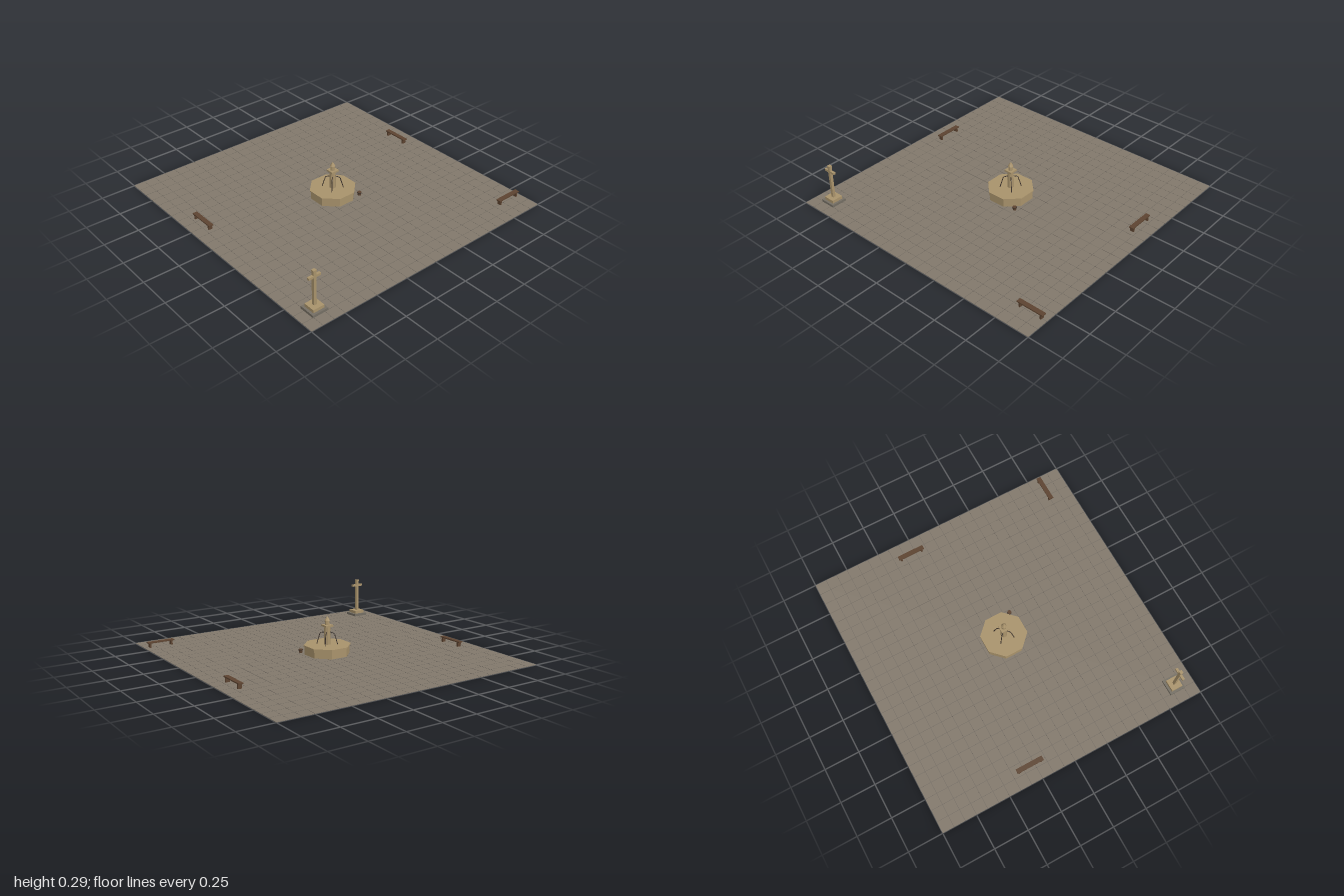
import * as THREE from 'three';

const mat = (color) => new THREE.MeshStandardMaterial({ color, flatShading: true });

export function createModel() {
  const root = new THREE.Group();
  const paving = mat(0x81786b), joint = mat(0x716960), stone = mat(0xa8926b);
  const darkStone = mat(0x746e63), wood = mat(0x5c4330), iron = mat(0x3a3029);

  const add = (parent, name, geometry, material, x = 0, y = 0, z = 0) => {
    const mesh = new THREE.Mesh(geometry, material);
    mesh.name = name;
    mesh.position.set(x, y, z);
    parent.add(mesh);
    return mesh;
  };
  const group = (name, x = 0, z = 0) => {
    const g = new THREE.Group();
    g.name = name;
    g.position.set(x, 0, z);
    root.add(g);
    return g;
  };
  // Box standing on y0 and reaching y1
  const block = (parent, name, w, y0, y1, d, m, x = 0, z = 0) =>
    add(parent, name, new THREE.BoxGeometry(w, y1 - y0, d), m, x, (y0 + y1) / 2, z);
  // Prism with flat sides facing the axes
  const prism = (parent, name, rTop, rBottom, y0, y1, sides, m, x = 0, z = 0) => {
    const g = new THREE.CylinderGeometry(rTop, rBottom, y1 - y0, sides);
    g.rotateY(Math.PI / sides);
    return add(parent, name, g, m, x, (y0 + y1) / 2, z);
  };

  // Paved square with a grid of joints
  const square = group('square');
  block(square, 'paving', 2, 0, 0.003, 2, paving);
  for (let i = -11; i <= 11; i++) {
    const p = i / 12;
    block(square, 'jointAcross', 2, 0.002, 0.0036, 0.003, joint, 0, p);
    block(square, 'jointAlong', 0.003, 0.002, 0.0036, 2, joint, p, 0);
  }

  // Octagonal fountain
  const fountain = group('fountain');
  prism(fountain, 'basin', 0.159, 0.159, 0.002, 0.062, 8, stone);
  prism(fountain, 'basinRim', 0.166, 0.166, 0.062, 0.07, 8, stone);
  prism(fountain, 'pillar', 0.021, 0.024, 0.07, 0.196, 8, stone);
  block(fountain, 'pillarCap', 0.06, 0.196, 0.208, 0.06, stone);
  prism(fountain, 'finialNeck', 0.015, 0.017, 0.208, 0.238, 8, stone);
  prism(fountain, 'finialTip', 0.004, 0.019, 0.238, 0.265, 8, stone);

  // Four bent iron spouts on the diagonals
  const path = new THREE.CurvePath();
  const bends = [[0.018, 0.157], [0.05, 0.15], [0.062, 0.11], [0.074, 0.07]]
    .map(([r, y]) => new THREE.Vector3(r, y, 0));
  for (let i = 0; i < 3; i++) path.add(new THREE.LineCurve3(bends[i], bends[i + 1]));
  const spoutGeometry = new THREE.TubeGeometry(path, 12, 0.003, 6);
  for (let i = 0; i < 4; i++) {
    add(fountain, 'spout', spoutGeometry, iron).rotation.y = Math.PI / 4 + i * Math.PI / 2;
  }

  // Wooden bucket beside the basin
  const bucket = group('bucket', 0.141, 0.122);
  prism(bucket, 'bucketBody', 0.015, 0.012, 0.003, 0.028, 10, wood);
  prism(bucket, 'bucketHoop', 0.016, 0.016, 0.021, 0.025, 10, iron);

  // Benches along the edges
  const bench = (x, z, turn) => {
    const b = group('bench', x, z);
    b.rotation.y = turn;
    block(b, 'seat', 0.198, 0.034, 0.042, 0.033, wood);
    for (const s of [-1, 1]) block(b, 'benchLeg', 0.012, 0, 0.034, 0.028, wood, s * 0.081);
  };
  bench(-0.884, -0.286, Math.PI / 2);
  bench(0.884, -0.286, Math.PI / 2);
  bench(0.88, 0.83, 0);

  // Stone cross on a stepped base
  const cross = group('cross', -0.867, 0.863);
  block(cross, 'lowerStep', 0.114, 0.001, 0.021, 0.114, darkStone);
  block(cross, 'upperStep', 0.082, 0.021, 0.043, 0.082, stone);
  block(cross, 'shaft', 0.02, 0.043, 0.284, 0.02, stone);
  block(cross, 'arms', 0.09, 0.24, 0.256, 0.018, stone);
  block(cross, 'shaftCap', 0.024, 0.282, 0.293, 0.022, stone);

  return root;
}
